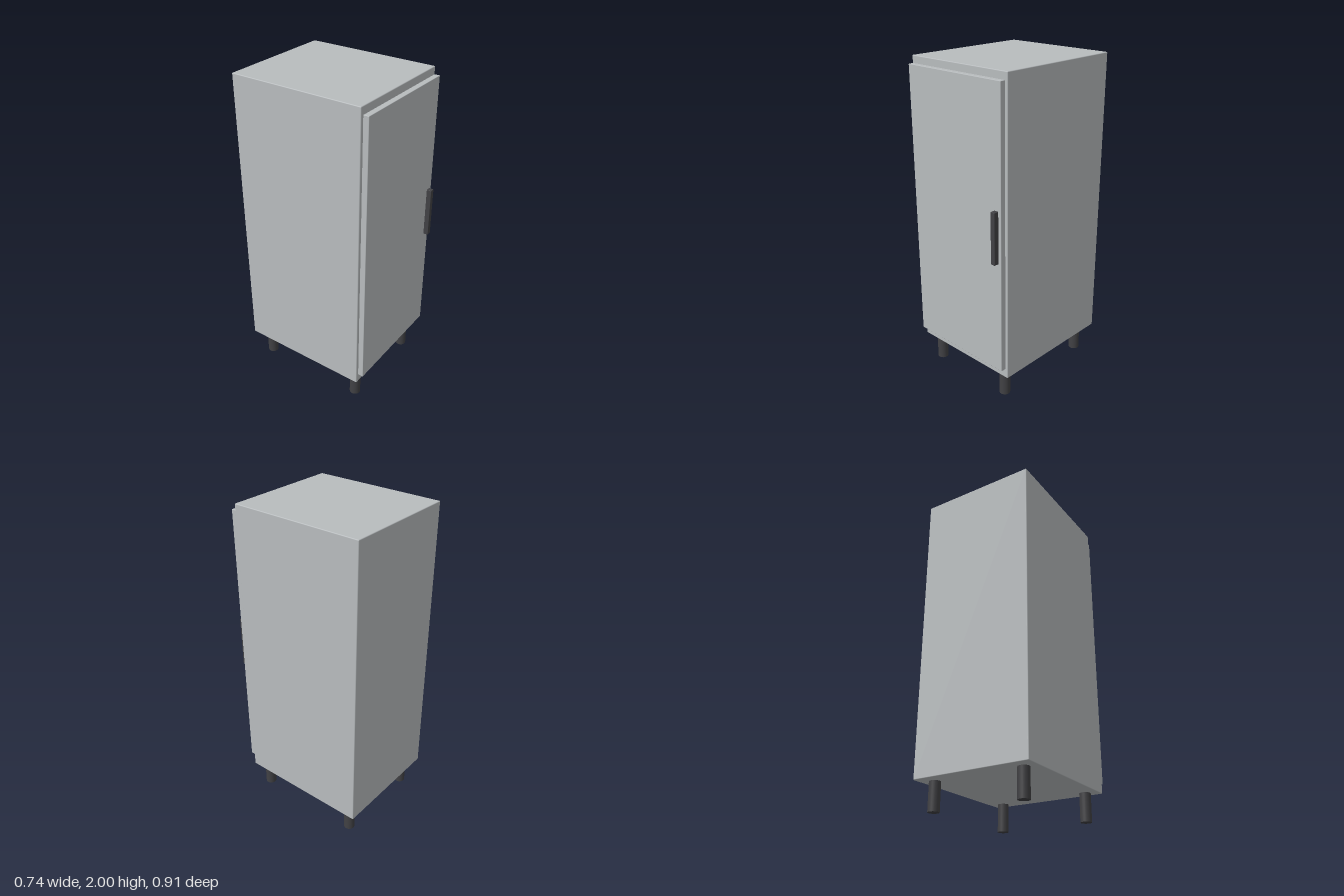
import * as THREE from 'three';
import { RoundedBoxGeometry } from 'three/addons/geometries/RoundedBoxGeometry.js';

export function createModel() {
  const group = new THREE.Group();
  const steel = new THREE.MeshStandardMaterial({ color: 0xb8bcbe });
  steel.name = 'brushed steel';
  const dark = new THREE.MeshStandardMaterial({ color: 0x414144 });
  dark.name = 'dark plastic';

  // Softly edged box given by its minimum and maximum corners
  function box(name, min, max, radius, material) {
    const size = max.map((v, i) => v - min[i]);
    const mesh = new THREE.Mesh(new RoundedBoxGeometry(...size, 2, radius), material);
    mesh.position.set(...max.map((v, i) => (v + min[i]) / 2));
    mesh.name = name;
    group.add(mesh);
  }

  box('cabinet', [-0.37, 0.17, -0.456], [0.37, 2, 0.387], 0.005, steel);
  box('door', [-0.358, 0.235, 0.391], [0.358, 1.957, 0.426], 0.003, steel);
  // Recessed seal joining the door to the cabinet
  box('doorSeal', [-0.35, 0.243, 0.38], [0.35, 1.949, 0.395], 0.002, steel);
  box('handle', [0.308, 0.94, 0.424], [0.338, 1.254, 0.456], 0.002, dark);

  // Four round feet
  const legGeometry = new THREE.CylinderGeometry(0.034, 0.034, 0.175, 24);
  for (const x of [-0.287, 0.287]) {
    for (const z of [-0.367, 0.323]) {
      const leg = new THREE.Mesh(legGeometry, dark);
      leg.position.set(x, 0.0875, z);
      leg.name = (z > 0 ? 'front' : 'back') + (x > 0 ? 'Left' : 'Right') + 'Leg';
      group.add(leg);
    }
  }
  return group;
}
